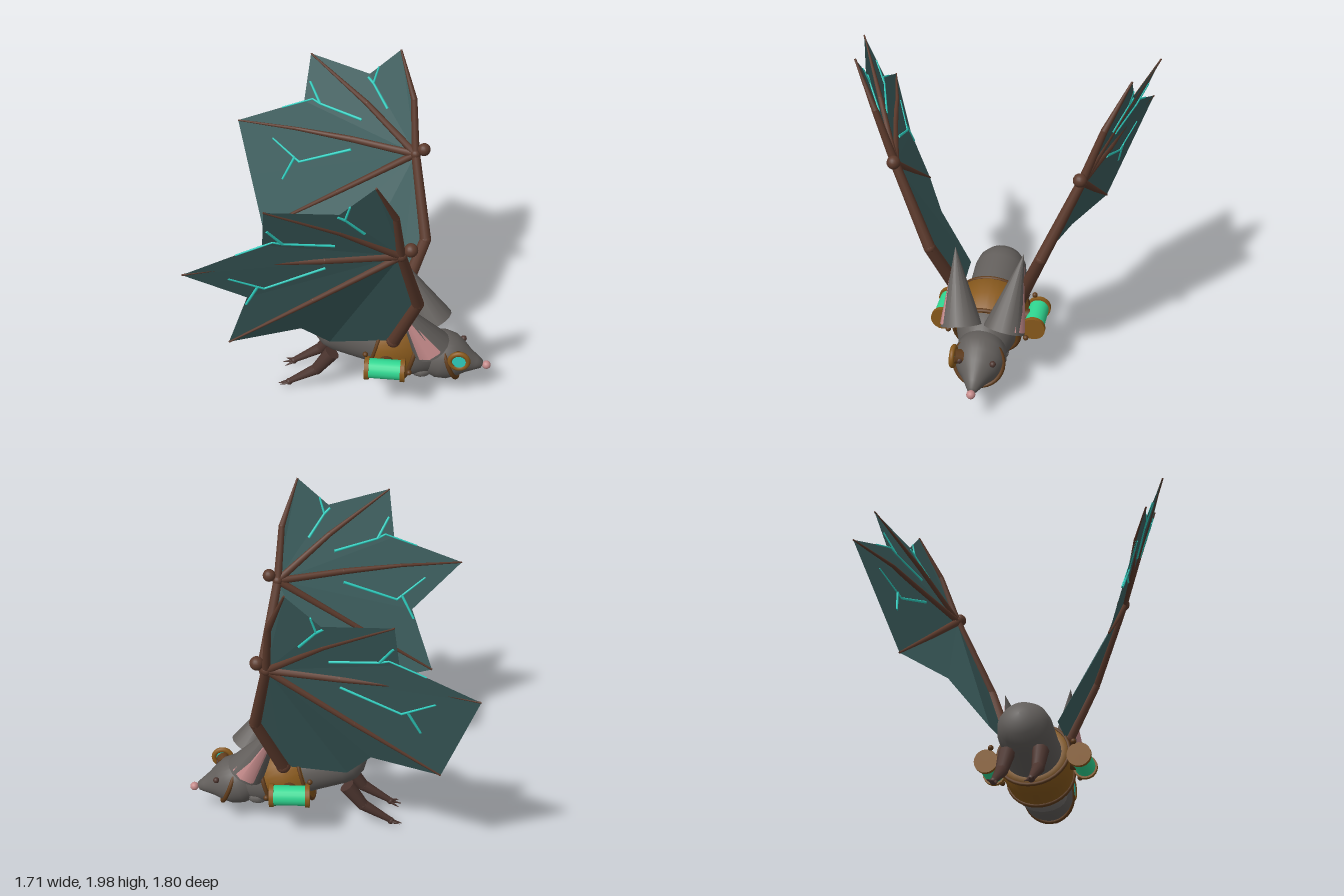
import * as THREE from 'three';

const mat = (name, color, side = THREE.FrontSide) => {
  const m = new THREE.MeshStandardMaterial({ color, side });
  m.name = name;
  return m;
};
const V = (x, y, z) => new THREE.Vector3(x, y, z);
const UP = V(0, 1, 0);

export function createModel() {
  const model = new THREE.Group();
  model.name = 'clockworkBat';

  const fur = mat('greyFur', 0x625e5b);
  const paleFur = mat('paleFur', 0x75716e);
  const bone = mat('wingBone', 0x5c3a2c);
  const legSkin = mat('legSkin', 0x4c352f);
  const leather = mat('leather', 0x88591c);
  const strap = mat('darkStrap', 0x5f3b1a);
  const pink = mat('pinkSkin', 0xc48a8a);
  const skin = mat('wingMembrane', 0x3d5f5f, THREE.DoubleSide);
  const glow = mat('tealGlow', 0x2fcfc0);
  const fluid = mat('greenFluid', 0x30d892);

  const add = (name, geo, material, parent = model) => {
    const m = new THREE.Mesh(geo, material);
    m.name = name;
    parent.add(m);
    return m;
  };
  // Tapered rod between two points
  const rod = (name, a, b, ra, rb, material, parent, sides = 10) => {
    const d = b.clone().sub(a);
    const m = add(name, new THREE.CylinderGeometry(rb, ra, d.length(), sides), material, parent);
    m.position.copy(a).add(b).multiplyScalar(0.5);
    m.quaternion.setFromUnitVectors(UP, d.normalize());
    return m;
  };
  const ball = (name, p, r, material, parent, sx = 1, sy = 1, sz = 1) => {
    const m = add(name, new THREE.SphereGeometry(r, 16, 12), material, parent);
    m.position.copy(p);
    m.scale.set(sx, sy, sz);
    return m;
  };
  // Chain of rods with rounded joints
  const limb = (name, pts, radii, material, parent) => {
    for (let i = 0; i < pts.length - 1; i++) {
      rod(name, pts[i], pts[i + 1], radii[i], radii[i + 1], material, parent);
      if (i) ball(name + 'Joint', pts[i], radii[i], material, parent);
    }
  };
  // Lathe of [radius, distance] pairs along a direction
  const turned = (name, profile, origin, dir, material) => {
    const m = add(name, new THREE.LatheGeometry(profile.map(p => new THREE.Vector2(...p)), 32), material);
    m.position.copy(origin);
    m.quaternion.setFromUnitVectors(UP, dir);
    return m;
  };
  const ring = (name, p, dir, r, tube, material, parent) => {
    const m = add(name, new THREE.TorusGeometry(r, tube, 10, 32), material, parent);
    m.position.copy(p);
    m.quaternion.setFromUnitVectors(V(0, 0, 1), dir);
    return m;
  };

  // Body, sloping down towards the head
  const tail = V(-0.1, 0.46, 0);
  const axis = V(0.96, -0.28, 0).normalize();
  const along = t => tail.clone().addScaledVector(axis, t);
  turned('body', [[0, -0.165], [0.06, -0.153], [0.115, -0.118], [0.15, -0.068], [0.165, 0], [0.168, 0.2],
    [0.185, 0.4], [0.18, 0.5], [0.145, 0.6], [0.08, 0.66], [0, 0.68]], tail, axis, fur);
  ball('chestFur', V(0.42, 0.235, 0), 0.1, paleFur, model, 1, 0.98, 1.5);

  // Harness
  turned('vest', [[0.15, 0.23], [0.222, 0.23], [0.215, 0.35], [0.2, 0.48], [0.15, 0.48]], tail, axis, leather);
  ring('vestRearRim', along(0.235), axis, 0.217, 0.011, strap);
  ring('vestCollar', along(0.475), axis, 0.2, 0.014, strap);

  // Head, snout and nose
  const headDir = V(0.4, -0.1, 0).normalize();
  turned('head', [[0, -0.03], [0.09, -0.01], [0.14, 0.05], [0.157, 0.12], [0.148, 0.19], [0.115, 0.25],
    [0.078, 0.3], [0.05, 0.35], [0.028, 0.39], [0, 0.4]], V(0.42, 0.315, 0), headDir, fur);
  ball('nose', V(0.83, 0.215, 0), 0.027, pink);
  const strapDir = V(0.26, 0.1, 0).normalize();
  ring('goggleStrap', V(0.6, 0.28, 0), strapDir, 0.148, 0.014, strap);

  // Eyepiece on one side only
  ring('eyepieceRim', V(0.657, 0.345, 0.14), V(0, 0, 1), 0.056, 0.016, leather);
  const lens = add('eyepieceLens', new THREE.CylinderGeometry(0.043, 0.043, 0.016, 24), glow);
  lens.position.set(0.657, 0.345, 0.142);
  lens.rotation.x = Math.PI / 2;
  rod('eyepieceMount', V(0.64, 0.335, 0.09), V(0.655, 0.345, 0.135), 0.045, 0.045, strap);

  for (const s of [1, -1]) {
    const P = (x, y, z) => V(x, y, z * s);
    const side = s > 0 ? 'near' : 'far';
    const group = name => {
      const g = new THREE.Group();
      g.name = side + name;
      model.add(g);
      return g;
    };

    // Eye and ear
    ball('eye', P(0.677, 0.335, 0.1), 0.019, legSkin);
    const ear = group('Ear');
    rod('earShell', P(0.48, 0.445, 0.13), P(0.26, 0.85, 0.207), 0.125, 0.001, fur, ear, 16);
    rod('earInner', P(0.475, 0.455, 0.155), P(0.285, 0.79, 0.213), 0.106, 0.001, pink, ear, 9);

    // Hind leg with three claws
    const leg = group('Leg');
    limb('leg', [P(-0.14, 0.31, 0.1), P(-0.24, 0.17, 0.105), P(-0.42, 0.05, 0.105)],
      [0.05, 0.037, 0.018], legSkin, leg);
    ball('foot', P(-0.42, 0.047, 0.105), 0.022, legSkin, leg);
    for (const k of [-1, 0, 1])
      rod('claw', P(-0.42, 0.045, 0.105 + k * 0.01), P(-0.49 + Math.abs(k) * 0.015, 0.028 + k * 0.012, 0.105 + k * 0.026),
        0.012, 0.002, legSkin, leg, 6);

    // Fluid canister
    const can = group('Canister');
    rod('canisterTube', P(0.11, 0.36, 0.28), P(0.31, 0.36, 0.28), 0.062, 0.062, fluid, can, 20);
    for (const x of [0.085, 0.305])
      rod('canisterCap', P(x, 0.36, 0.28), P(x + 0.027, 0.36, 0.28), 0.073, 0.073, leather, can, 20);
    rod('canisterBracket', P(0.21, 0.36, 0.17), P(0.21, 0.36, 0.24), 0.05, 0.05, strap, can);
    ball('bolt', P(0.085, 0.44, 0.25), 0.017, strap, can);
    ball('bolt', P(0.355, 0.31, 0.24), 0.017, strap, can);

    // Wing skeleton
    const wing = group('Wing');
    const shoulder = P(0.25, 0.51, 0.18), elbow = P(0.4, 0.92, 0.33), wrist = P(0.31, 1.41, 0.54);
    const bend = P(0.285, 1.73, 0.65);
    const tips = [P(0.19, 1.995, 0.78), P(-0.38, 1.88, 0.895), P(-0.855, 1.405, 0.84), P(-0.68, 0.75, 0.59)];
    limb('arm', [shoulder, elbow, wrist], [0.042, 0.036, 0.028], bone, wing);
    ball('shoulder', shoulder, 0.045, bone, wing);
    ball('wrist', wrist, 0.033, bone, wing);
    ball('thumb', P(0.362, 1.448, 0.535), 0.04, bone, wing);
    limb('finger', [wrist, bend, tips[0]], [0.026, 0.02, 0.006], bone, wing);
    limb('finger', [wrist, P(-0.01, 1.655, 0.705), tips[1]], [0.024, 0.017, 0.005], bone, wing);
    limb('finger', [wrist, P(-0.1, 1.425, 0.65), P(-0.46, 1.432, 0.728), tips[2]],
      [0.024, 0.02, 0.011, 0.005], bone, wing);
    limb('finger', [wrist, P(-0.18, 1.08, 0.565), tips[3]], [0.024, 0.017, 0.006], bone, wing);

    // Membrane fanned from the wrist; only one wing is notched between the last fingers
    const notch = s > 0 ? P(-0.54, 1.15, 0.67) : P(-0.768, 1.078, 0.715);
    const rim = [bend, tips[0], P(0, 1.82, 0.78), tips[1], P(-0.415, 1.6, 0.79), tips[2], notch, tips[3],
      P(-0.28, 0.75, 0.42), P(-0.14, 0.48, 0.2), shoulder, elbow];
    const tris = rim.slice(1).map((p, i) => [wrist, rim[i], p]);
    const geo = new THREE.BufferGeometry().setFromPoints(tris.flat());
    geo.computeVertexNormals();
    add('membrane', geo, skin, wing);

    // Glowing veins laid on the membrane
    const onSkin = ([x, y]) => {
      const flat = v => V(v.x, v.y, 0);
      const q = V(x, y, 0), w = V(0, 0, 0);
      for (const t of tris) {
        const [a, b, c] = t.map(flat);
        if (!THREE.Triangle.getBarycoord(q, a, b, c, w)) continue;
        if (Math.min(w.x, w.y, w.z) >= -1e-4)
          return V(x, y, t[0].z * w.x + t[1].z * w.y + t[2].z * w.z);
      }
      return V(x, y, 0.7 * s);
    };
    const veins = [
      [[0.12, 1.64], [0.025, 1.77], [0.055, 1.87]], [[0.025, 1.77], [-0.01, 1.8]],
      [[-0.04, 1.55], [-0.31, 1.6], [-0.36, 1.62], [-0.56, 1.535]], [[-0.31, 1.6], [-0.38, 1.72]],
      [[-0.1, 1.36], [-0.44, 1.22], [-0.62, 1.335]], [[-0.47, 1.245], [-0.55, 1.09]],
    ];
    for (const v of veins) {
      const pts = v.map(onSkin);
      limb('vein', pts, pts.map((_, i) => 0.009 - i * 0.0015), glow, wing);
    }
  }
  return model;
}
